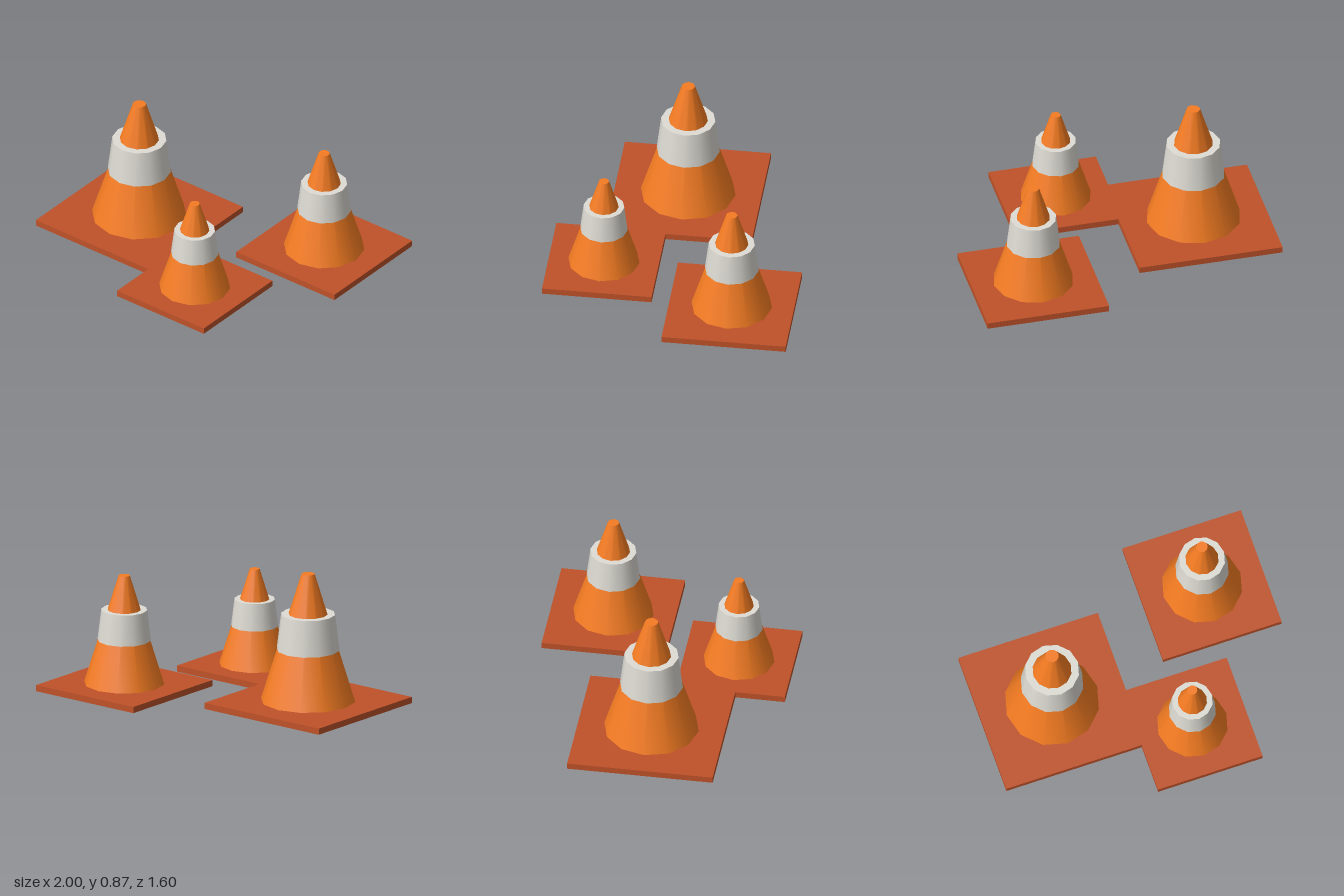
import * as THREE from 'three';

const orange = new THREE.MeshStandardMaterial({ color: 0xf57c22 });
const rust = new THREE.MeshStandardMaterial({ color: 0xbf5229 });
const white = new THREE.MeshStandardMaterial({ color: 0xdedcd4 });

const SIDES = 12;
const BASE_H = 0.04;

// Truncated cone standing between two heights
function frustum(name, rTop, rBottom, y0, y1, material) {
  const geo = new THREE.CylinderGeometry(rTop, rBottom, y1 - y0, SIDES);
  geo.translate(0, (y0 + y1) / 2, 0);
  const mesh = new THREE.Mesh(geo, material);
  mesh.name = name;
  return mesh;
}

// One traffic cone: square base plate, tapered body, reflective band
function trafficCone(name, x, z, s) {
  const cone = new THREE.Group();
  cone.name = name;
  cone.position.set(x, 0, z);

  const base = new THREE.Mesh(new THREE.BoxGeometry(0.926 * s, BASE_H, 0.926 * s), rust);
  base.name = 'basePlate';
  base.position.y = BASE_H / 2;

  const y = (h) => BASE_H + h * s;
  cone.add(
    base,
    frustum('coneBody', 0.042 * s, 0.3 * s, y(0), y(0.825), orange),
    frustum('reflectiveBand', 0.172 * s, 0.2 * s, y(0.332), y(0.563), white)
  );
  return cone;
}

export function createModel() {
  const model = new THREE.Group();
  model.name = 'trafficCones';
  model.add(
    trafficCone('largeCone', -0.537, 0.019, 1),
    trafficCone('mediumCone', 0.606, -0.407, 0.85),
    trafficCone('smallCone', 0.247, 0.45, 0.75)
  );
  return model;
}
